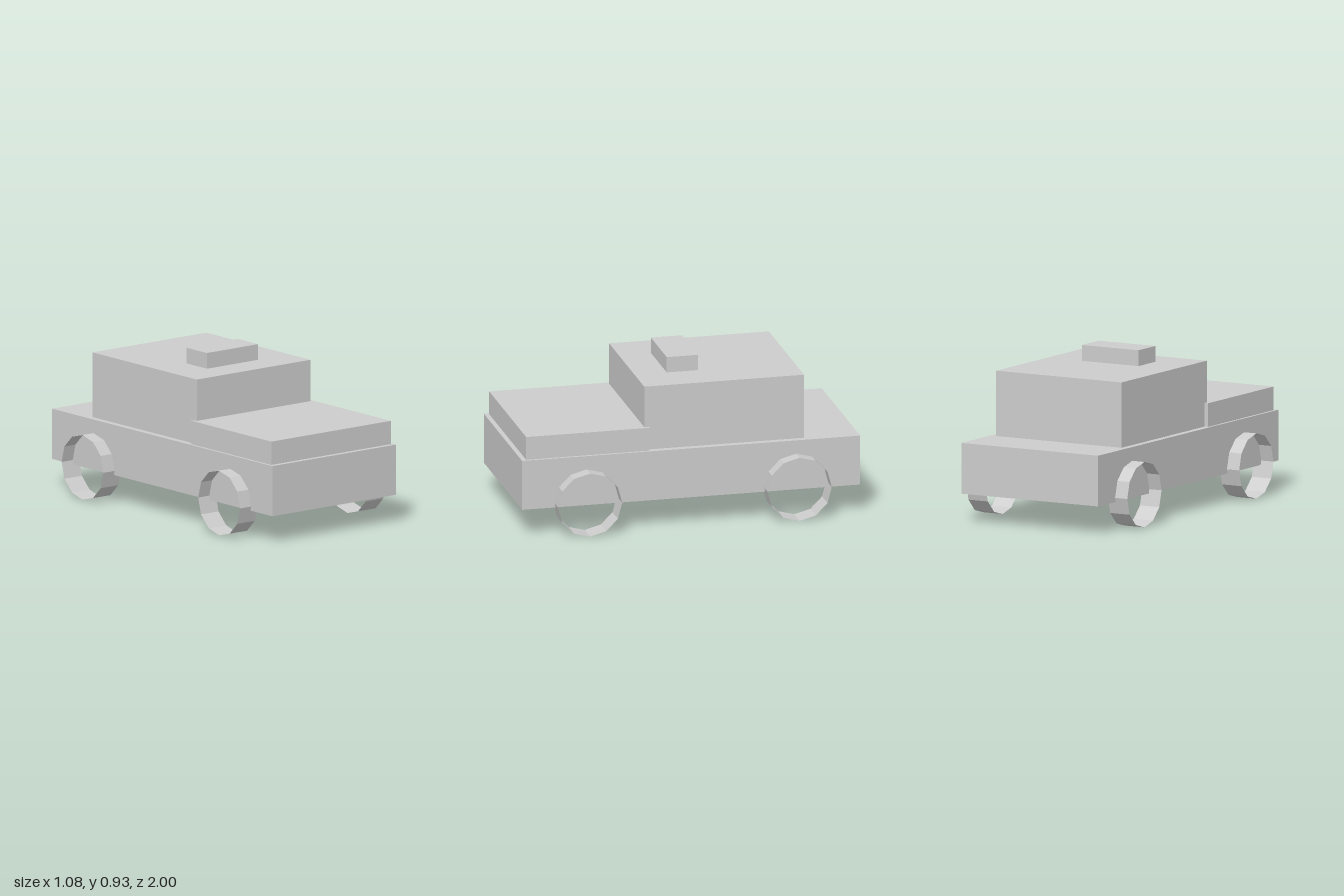
import * as THREE from 'three';

export function createModel() {
  const car = new THREE.Group();
  car.name = 'car';
  const bodyGrey = new THREE.MeshStandardMaterial({ color: 0xcccccc });
  bodyGrey.name = 'body grey';
  const wheelGrey = new THREE.MeshStandardMaterial({ color: 0xcccccc, flatShading: true, side: THREE.DoubleSide });
  wheelGrey.name = 'wheel grey';

  // Box centred on x, given its half width and its y and z ranges
  function addBox(name, halfWidth, [y0, y1], [z0, z1]) {
    const mesh = new THREE.Mesh(new THREE.BoxGeometry(halfWidth * 2, y1 - y0, z1 - z0), bodyGrey);
    mesh.name = name;
    mesh.position.set(0, (y0 + y1) / 2, (z0 + z1) / 2);
    car.add(mesh);
  }

  addBox('lowerBody', 0.459, [0.165, 0.46], [-1, 1]);
  addBox('hood', 0.443, [0.46, 0.597], [0.243, 0.972]);
  addBox('cabin', 0.421, [0.46, 0.84], [-0.677, 0.268]);
  addBox('roofSign', 0.19, [0.84, 0.932], [-0.108, 0.078]);

  // Open twelve-sided wheel rims, partly sunk into the body
  const rim = new THREE.CylinderGeometry(0.19, 0.19, 0.13, 12, 1, true);
  rim.rotateZ(Math.PI / 2);
  for (const [end, z] of [['front', 0.618], ['rear', -0.622]]) {
    for (const [side, x] of [['Left', 0.476], ['Right', -0.476]]) {
      const wheel = new THREE.Mesh(rim, wheelGrey);
      wheel.name = `${end}${side}Wheel`;
      wheel.position.set(x, 0.19, z);
      car.add(wheel);
    }
  }
  return car;
}
